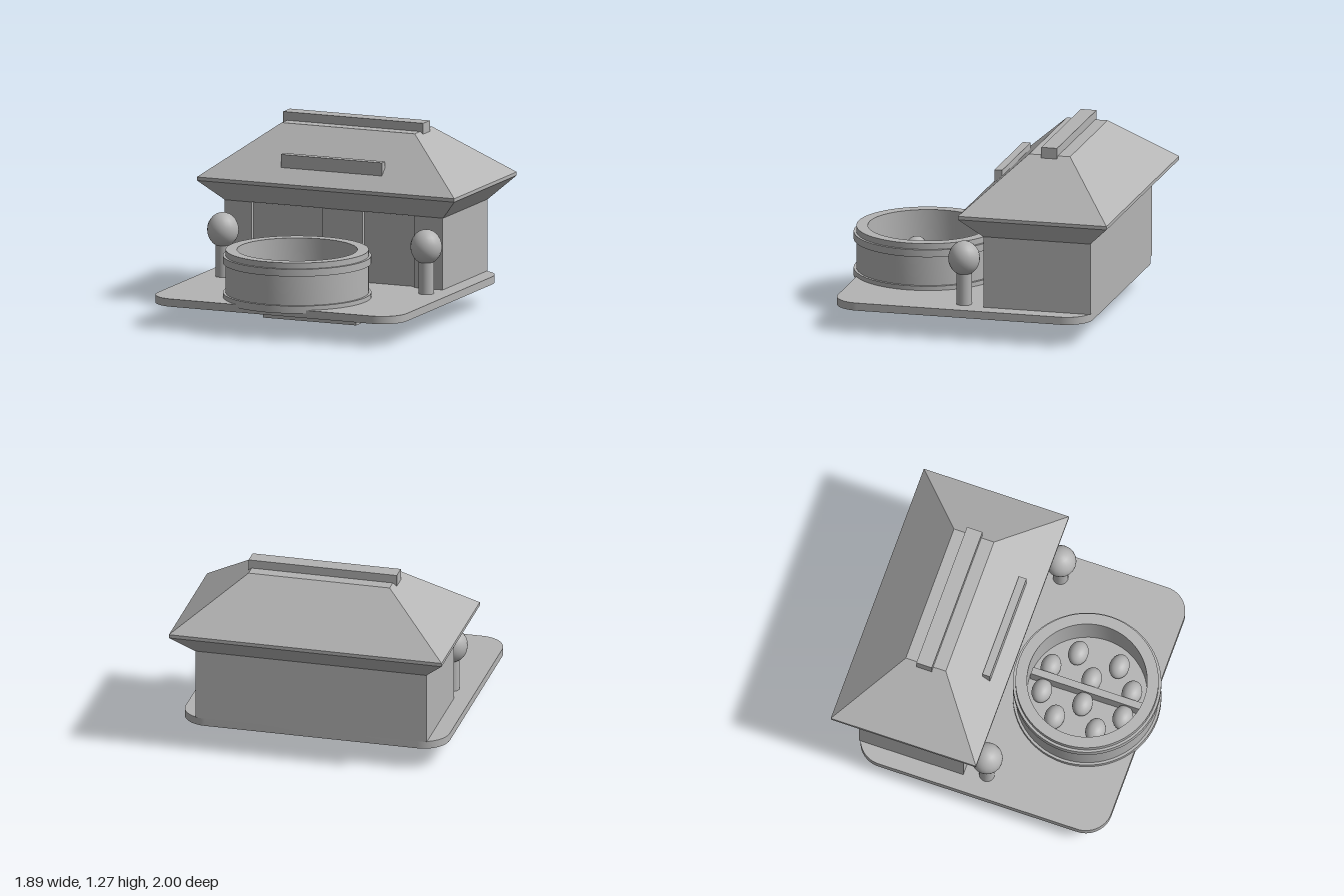
import * as THREE from 'three';
import { toCreasedNormals } from 'three/addons/utils/BufferGeometryUtils.js';

const grey = new THREE.MeshStandardMaterial({ color: 0xb4b4b4 });
grey.name = 'plain grey';

function add(parent, name, geometry, x = 0, y = 0, z = 0) {
  const mesh = new THREE.Mesh(geometry, grey);
  mesh.name = name;
  mesh.position.set(x, y, z);
  parent.add(mesh);
  return mesh;
}

// Box given by its limits on each axis
function block(parent, name, [x0, x1], [y0, y1], [z0, z1]) {
  return add(parent, name, new THREE.BoxGeometry(x1 - x0, y1 - y0, z1 - z0),
    (x0 + x1) / 2, (y0 + y1) / 2, (z0 + z1) / 2);
}

// Box whose top and bottom rectangles differ; each is { y, x: half width, z: [back, front] }
function taperedBlock(parent, name, bottom, top) {
  const g = new THREE.BoxGeometry(2, 2, 2);
  const p = g.attributes.position;
  for (let i = 0; i < p.count; i++) {
    const r = p.getY(i) > 0 ? top : bottom;
    p.setXYZ(i, p.getX(i) * r.x, r.y, p.getZ(i) > 0 ? r.z[1] : r.z[0]);
  }
  g.computeVertexNormals();
  return add(parent, name, g);
}

function roundedSlab(x0, x1, z0, z1, r, thickness) {
  const s = new THREE.Shape();
  s.absarc(x1 - r, z1 - r, r, 0, Math.PI / 2);
  s.absarc(x0 + r, z1 - r, r, Math.PI / 2, Math.PI);
  s.absarc(x0 + r, z0 + r, r, Math.PI, Math.PI * 1.5);
  s.absarc(x1 - r, z0 + r, r, Math.PI * 1.5, Math.PI * 2);
  const g = new THREE.ExtrudeGeometry(s, { depth: thickness, bevelEnabled: false, curveSegments: 12 });
  g.rotateX(Math.PI / 2);
  return toCreasedNormals(g, 0.6);
}

export function createModel() {
  const model = new THREE.Group();
  model.name = 'shopWithTub';

  // Base
  block(model, 'foot', [-0.345, 0.34], [0, 0.155], [-0.39, 0.295]);
  add(model, 'platform', roundedSlab(-0.92, 0.915, -0.85, 0.927, 0.18, 0.053), 0, 0.208, 0);

  // Building, with a front wall notched for the window and the door
  const house = new THREE.Group();
  house.name = 'building';
  model.add(house);
  block(house, 'walls', [-0.805, 0.8], [0.208, 0.7], [-0.85, -0.14]);
  const outline = [
    [-0.805, 0.208], [0.21, 0.208], [0.21, 0.7], [-0.085, 0.7], [-0.085, 0.383],
    [-0.608, 0.383], [-0.608, 0.7], [-0.805, 0.7],
  ].map(([x, y]) => new THREE.Vector2(x, y));
  const wall = new THREE.Shape(outline);
  add(house, 'frontWall', new THREE.ExtrudeGeometry(wall, { depth: 0.035, bevelEnabled: false }), 0, 0, -0.14);
  block(house, 'frontWallEnd', [0.59, 0.8], [0.208, 0.7], [-0.14, -0.105]);

  // Roof
  const eave = { x: 0.947, z: [-1, 0.035] };
  taperedBlock(house, 'eaves', { y: 0.7, x: 0.803, z: [-0.85, -0.105] }, { y: 0.846, ...eave });
  taperedBlock(house, 'roofEdge', { y: 0.846, ...eave }, { y: 0.87, ...eave });
  taperedBlock(house, 'roof', { y: 0.87, ...eave }, { y: 1.212, x: 0.49, z: [-0.625, -0.34] });
  block(house, 'ridgeBeam', [-0.518, 0.512], [1.19, 1.27], [-0.54, -0.43]);
  block(house, 'signBoard', [-0.374, 0.37], [0.96, 1.052], [-0.12, -0.066]);

  // Round tub with two hoops, open at the top
  const tub = new THREE.Group();
  tub.name = 'tub';
  tub.position.set(-0.004, 0, 0.497);
  model.add(tub);
  const profile = [
    [0, 0.187], [0.5, 0.187], [0.5, 0.238], [0.482, 0.238], [0.482, 0.44], [0.5, 0.44],
    [0.5, 0.49], [0.482, 0.49], [0.482, 0.53], [0.405, 0.53], [0.405, 0.27], [0, 0.27],
  ].map(([r, y]) => new THREE.Vector2(r, y));
  add(tub, 'tubBody', toCreasedNormals(new THREE.LatheGeometry(profile, 64), 0.6));

  // Contents of the tub: a divider and ten dumplings
  block(tub, 'divider', [-0.025, 0.025], [0.27, 0.375], [-0.393, 0.393]);
  const dumpling = new THREE.SphereGeometry(1, 20, 14).scale(0.086, 0.07, 0.068);
  const rows = [[0.093, -0.29], [0.242, -0.147], [0.093, 0], [0.242, 0.145], [0.093, 0.287]];
  for (const [x, z] of rows) {
    for (const side of [-1, 1]) add(tub, 'dumpling', dumpling, side * x, 0.31, z);
  }

  // Trees on both sides
  for (const side of [-1, 1]) {
    const tree = new THREE.Group();
    tree.name = side > 0 ? 'leftTree' : 'rightTree';
    tree.position.set(side * 0.748 - 0.003, 0, 0.045);
    model.add(tree);
    add(tree, 'trunk', new THREE.CylinderGeometry(0.052, 0.052, 0.24, 20), 0, 0.328, 0);
    add(tree, 'crown', new THREE.SphereGeometry(1, 20, 14).scale(0.107, 0.118, 0.107), 0, 0.527, 0);
  }
  return model;
}
